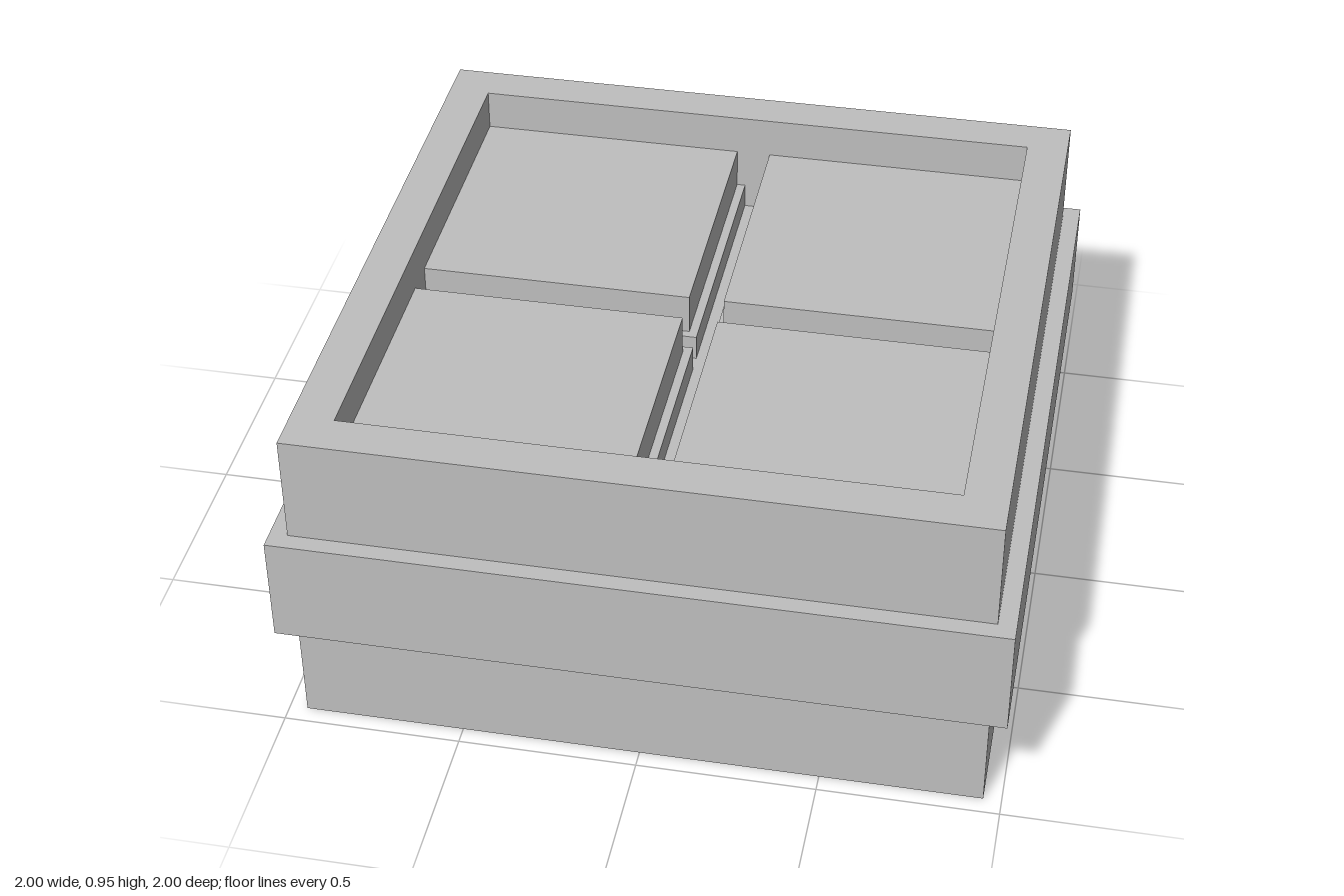
import * as THREE from 'three';

export function createModel() {
  const group = new THREE.Group();
  const grey = new THREE.MeshStandardMaterial({ color: 0xbfbfbf });
  grey.name = 'plain grey';

  const add = (name, geometry, x, y, z) => {
    const mesh = new THREE.Mesh(geometry, grey);
    mesh.name = name;
    mesh.position.set(x, y, z);
    group.add(mesh);
  };
  // Box given by its base height and top height
  const block = (name, width, bottom, top, x = 0, z = 0) =>
    add(name, new THREE.BoxGeometry(width, top - bottom, width), x, (bottom + top) / 2, z);

  const low = 0.32, mid = 0.635, top = 0.95;

  // Stacked body: base and wider middle band
  block('base', 1.9, 0, low);
  block('middleBand', 2, low, mid);

  // Square rim, open in the middle
  const square = (r) => [[-r, -r], [r, -r], [r, r], [-r, r]].map(([x, y]) => new THREE.Vector2(x, y));
  const rim = new THREE.Shape(square(0.95));
  rim.holes.push(new THREE.Path(square(0.83).reverse()));
  const rimGeometry = new THREE.ExtrudeGeometry(rim, { depth: top - mid, bevelEnabled: false });
  rimGeometry.rotateX(-Math.PI / 2);
  add('rim', rimGeometry, 0, mid, 0);

  // Four sunken panels, each on a slightly wider ledge that steps the cross groove
  for (const sx of [-1, 1]) {
    for (const sz of [-1, 1]) {
      block('panel', 0.78, mid, 0.83, sx * 0.44, sz * 0.44);
      block('panelLedge', 0.805, mid, 0.71, sx * 0.4275, sz * 0.4275);
    }
  }
  return group;
}
